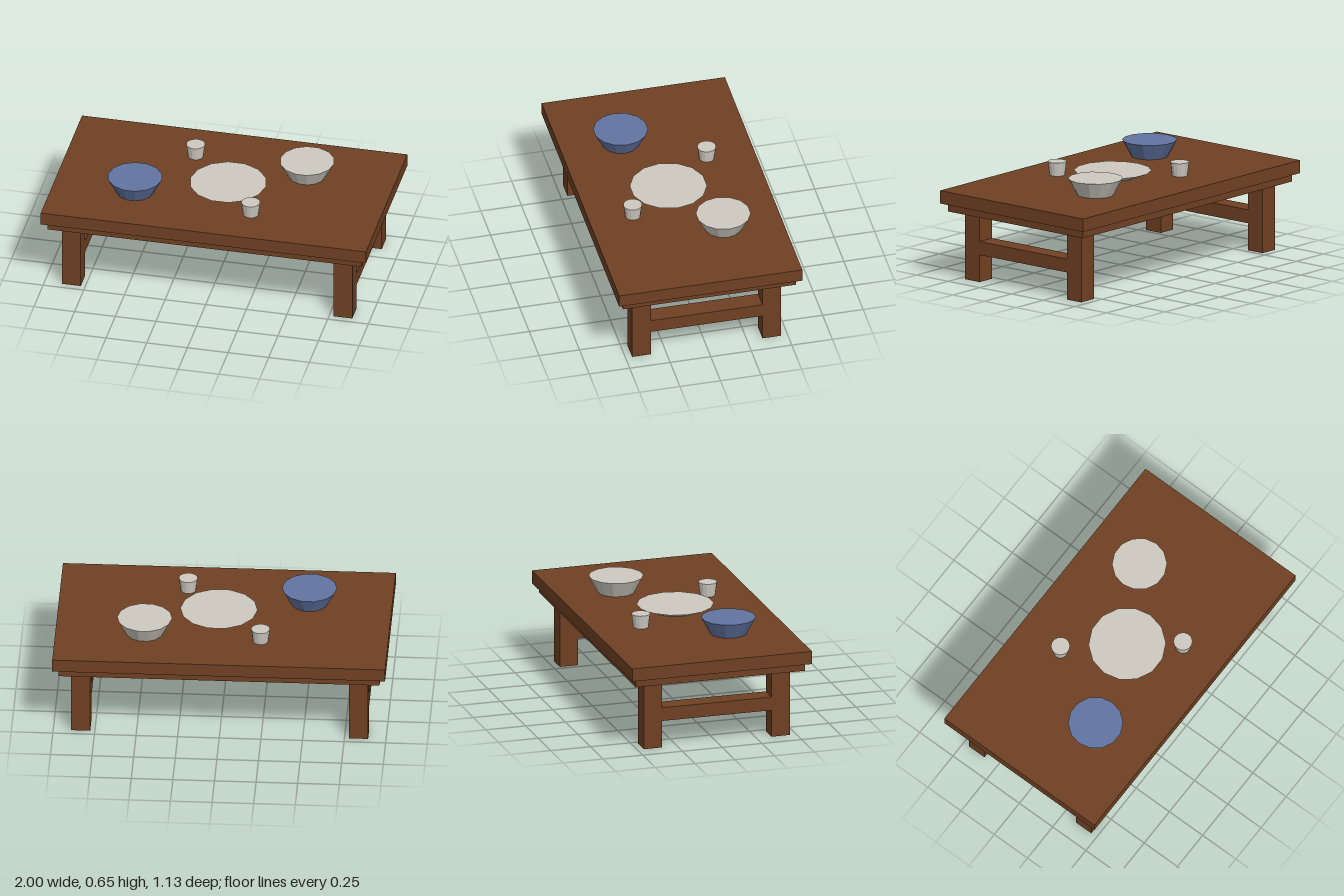
import * as THREE from 'three';

function material(name, color) {
  const m = new THREE.MeshStandardMaterial({ color });
  m.name = name;
  return m;
}

export function createModel() {
  const group = new THREE.Group();
  const wood = material('wood', 0x6f4022);
  const blue = material('blueGlaze', 0x6173a0);
  const white = material('whiteGlaze', 0xcdc9c0);

  const box = (name, x, y0, y1, z, w, d) => {
    const mesh = new THREE.Mesh(new THREE.BoxGeometry(w, y1 - y0, d), wood);
    mesh.name = name;
    mesh.position.set(x, (y0 + y1) / 2, z);
    group.add(mesh);
  };

  // Faceted, tapered vessel with a closed top, standing on the table
  const topY = 0.55;
  const vessel = (name, mat, x, z, rTop, rBottom, height) => {
    const geo = new THREE.CylinderGeometry(rTop, rBottom, height, 14).toNonIndexed();
    geo.computeVertexNormals();
    geo.rotateY(Math.PI / 2);
    const mesh = new THREE.Mesh(geo, mat);
    mesh.name = name;
    mesh.position.set(x, topY + height / 2, z);
    group.add(mesh);
  };

  // Table top and the slab under it
  box('tableTop', 0, 0.47, topY, 0, 2, 1.13);
  box('underSlab', 0, 0.42, 0.47, 0, 1.93, 1.066);

  // Legs, with a stretcher joining each end pair
  for (const sx of [-1, 1]) {
    for (const sz of [-1, 1]) box('leg', sx * 0.835, 0, 0.42, sz * 0.402, 0.115, 0.115);
    box('stretcher', sx * 0.835, 0.167, 0.25, 0, 0.115, 0.69);
  }

  // Tableware
  vessel('blueBowl', blue, -0.503, 0.197, 0.165, 0.112, 0.1);
  vessel('whiteBowl', white, 0.465, -0.205, 0.165, 0.112, 0.1);
  vessel('plate', white, 0.032, 0.03, 0.232, 0.15, 0.034);
  vessel('cup', white, -0.235, -0.27, 0.057, 0.046, 0.084);
  vessel('cup', white, 0.232, 0.298, 0.057, 0.046, 0.084);

  return group;
}
